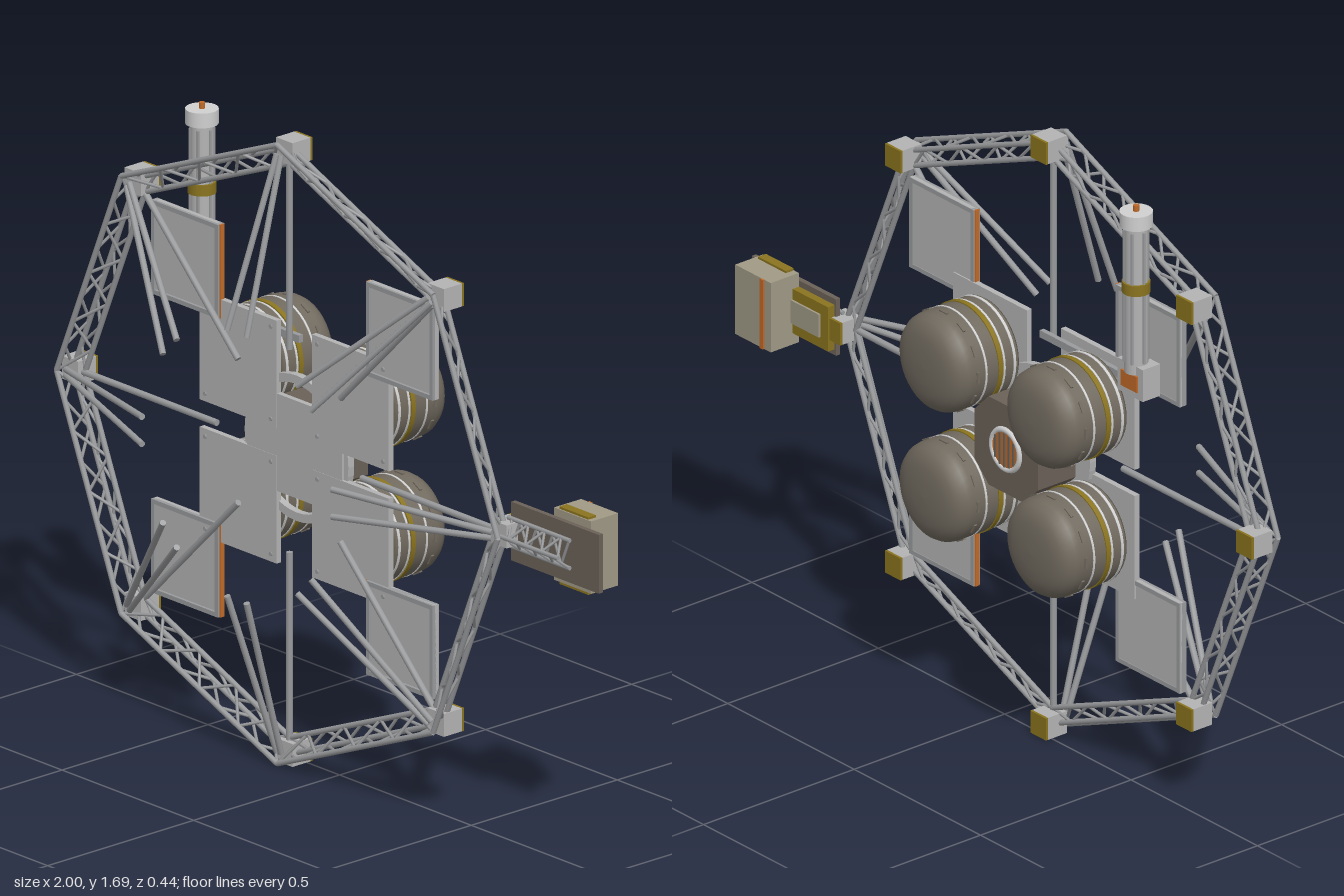
import * as THREE from 'three';

const mat = (name, color, side = THREE.FrontSide) => {
  const m = new THREE.MeshStandardMaterial({ color, side });
  m.name = name;
  return m;
};

export function createModel() {
  const root = new THREE.Group();
  root.name = 'orbitalPlatform';
  const grey = mat('light grey', 0xb4b4b4), metal = mat('metal grey', 0x9a9b9d);
  const silver = mat('silver', 0xd0d0d0), tankBrown = mat('tank brown', 0x716a5f);
  const bodyBrown = mat('body brown', 0x6b6258), beige = mat('beige', 0xa09a86);
  const gold = mat('gold', 0x8a741f), orange = mat('orange', 0xc06a28);
  const CX = -0.155, CY = 0.852;

  const add = (name, geo, m, x = 0, y = 0, z = 0, parent = root) => {
    const mesh = new THREE.Mesh(geo, m);
    mesh.name = name;
    mesh.position.set(x, y, z);
    parent.add(mesh);
    return mesh;
  };
  // box from its min and max corners
  const box = (name, m, x0, x1, y0, y1, z0, z1, parent = root) =>
    add(name, new THREE.BoxGeometry(x1 - x0, y1 - y0, z1 - z0), m, (x0 + x1) / 2, (y0 + y1) / 2, (z0 + z1) / 2, parent);
  // straight bar between two points
  const bar = (name, a, b, r, m, sides = 6, parent = root) => {
    const d = b.clone().sub(a);
    const mesh = add(name, new THREE.CylinderGeometry(r, r, d.length(), sides), m, 0, 0, 0, parent);
    mesh.position.copy(a).add(b).multiplyScalar(0.5);
    mesh.quaternion.setFromUnitVectors(new THREE.Vector3(0, 1, 0), d.normalize());
    return mesh;
  };
  const V = (x, y, z) => new THREE.Vector3(x, y, z);
  // point on the platform: radius, sideways offset, angle, depth
  const polar = (r, side, a, z) =>
    V(CX + r * Math.cos(a) - side * Math.sin(a), CY + r * Math.sin(a) + side * Math.cos(a), z);

  // Octagonal truss ring with nodes and inward struts
  const ring = new THREE.Group();
  ring.name = 'trussRing';
  root.add(ring);
  const chords = [[0.838, 0.074], [0.822, 0.03], [0.778, 0.03]];
  for (let i = 0; i < 8; i++) {
    const a = i * Math.PI / 4, b = a + Math.PI / 4;
    const ends = chords.map(([r, z]) => [polar(r, 0, a, z), polar(r, 0, b, z)]);
    ends.forEach(([p, q]) => bar('ringChord', p, q, 0.0075, metal, 8, ring));
    const bays = 8;
    for (let k = 0; k < bays; k++) {
      for (let c = 0; c < 3; c++) {
        const from = ends[k % 2 ? c : (c + 1) % 3], to = ends[k % 2 ? (c + 1) % 3 : c];
        bar('ringLacing', from[0].clone().lerp(from[1], k / bays),
          to[0].clone().lerp(to[1], (k + 1) / bays), 0.0045, metal, 5, ring);
      }
    }
    const n = polar(0.814, 0, a, 0);
    box('ringNode', grey, n.x - 0.031, n.x + 0.031, n.y - 0.031, n.y + 0.031, -0.012, 0.05, ring);
    box('nodeBackPlate', gold, n.x - 0.031, n.x + 0.031, n.y - 0.031, n.y + 0.031, -0.019, -0.012, ring);
    for (const s of [-1, 1])
      bar('forwardStrut', polar(0.81, s * 0.008, a, 0.068), polar(0.36, s * 0.037, a, 0.212), 0.0085, metal, 8, ring);
    bar('inwardStrut', polar(0.79, 0, a, 0.032), polar(0.275, 0, a, 0.032), 0.009, metal, 8, ring);
  }

  // Four main panels, each with a domed tank behind it
  const profile = [[0, 0], [0.13, 0], [0.135, 0.008], [0.135, 0.15], [0.132, 0.168], [0.122, 0.185],
    [0.104, 0.198], [0.078, 0.206], [0.04, 0.21], [0, 0.211]].map(p => new THREE.Vector2(...p));
  const bandGeo = (r, h) => new THREE.CylinderGeometry(r, r, h, 40);
  for (const sx of [-1, 1]) for (const sy of [-1, 1]) {
    const x = CX + sx * 0.213, y = CY + sy * 0.183;
    box('mainPanel', grey, x - 0.146, x + 0.146, y - 0.146, y + 0.146, 0, 0.016);
    for (const dx of [-0.125, 0.125]) for (const dy of [-0.125, 0.125])
      add('panelBolt', new THREE.CylinderGeometry(0.006, 0.006, 0.004, 8).rotateX(Math.PI / 2), metal, x + dx, y + dy, 0.017);
    const tank = new THREE.Group();
    tank.name = 'tank';
    tank.position.set(x, y, -0.013);
    tank.rotation.x = -Math.PI / 2;
    root.add(tank);
    add('tankShell', new THREE.LatheGeometry(profile, 40), tankBrown, 0, 0, 0, tank);
    add('tankMount', bandGeo(0.11, 0.02), metal, 0, -0.007, 0, tank);
    add('lowerBand', bandGeo(0.1365, 0.008), silver, 0, 0.018, 0, tank);
    add('goldBand', bandGeo(0.138, 0.014), gold, 0, 0.065, 0, tank);
    add('middleBand', bandGeo(0.1365, 0.006), silver, 0, 0.052, 0, tank);
    add('upperBand', bandGeo(0.1365, 0.006), silver, 0, 0.112, 0, tank);
    for (let k = 0; k < 12; k++) {
      const a = k * Math.PI / 6;
      const lug = add('tankLug', new THREE.BoxGeometry(0.006, 0.008, 0.03), tankBrown,
        0.135 * Math.cos(a), 0.14, 0.135 * Math.sin(a), tank);
      lug.rotation.y = -a;
    }
  }

  // Central plate, collar and hub body
  box('centrePlate', grey, CX - 0.18, CX + 0.18, CY - 0.132, CY + 0.132, 0, 0.015);
  const collar = new THREE.Shape().absarc(0, 0, 0.197, 0, Math.PI * 2);
  collar.holes.push(new THREE.Path().absarc(0, 0, 0.174, 0, Math.PI * 2, true));
  add('hubCollar', new THREE.ExtrudeGeometry(collar, { depth: 0.02, bevelEnabled: false, curveSegments: 24 }), grey, CX, CY, -0.012);
  const h = 0.125, c = 0.055, hub = new THREE.Shape();
  [[h, h - c], [h - c, h], [c - h, h], [-h, h - c], [-h, c - h], [c - h, -h], [h - c, -h], [h, c - h]]
    .forEach(([x, y], i) => (i ? hub.lineTo(x, y) : hub.moveTo(x, y)));
  add('hubBody', new THREE.ExtrudeGeometry(hub, { depth: 0.125, bevelEnabled: false }), bodyBrown, CX, CY, -0.125);
  add('hubPortRing', new THREE.TorusGeometry(0.055, 0.008, 8, 32), silver, CX, CY, -0.126);
  add('hubPort', new THREE.CylinderGeometry(0.05, 0.05, 0.006, 32).rotateX(Math.PI / 2), orange, CX, CY, -0.127);
  for (let k = -2; k <= 2; k++) {
    const half = Math.sqrt(0.048 ** 2 - (k * 0.018) ** 2);
    box('portSlat', bodyBrown, CX + k * 0.018 - 0.003, CX + k * 0.018 + 0.003, CY - half, CY + half, -0.133, -0.129);
  }

  // Square corner panels with raised frames
  for (const sx of [-1, 1]) for (const sy of [-1, 1]) {
    const x = CX + sx * 0.408, y = CY + sy * 0.405, w = 0.127;
    box('cornerPanel', grey, x - w, x + w, y - w, y + w, 0.004, 0.016);
    for (const s of [-1, 1]) {
      box('cornerFrameSide', metal, x + s * (w - 0.006) - 0.006, x + s * (w - 0.006) + 0.006, y - w, y + w, 0.002, 0.024);
      box('cornerFrameEnd', metal, x - w + 0.012, x + w - 0.012, y + s * (w - 0.006) - 0.006, y + s * (w - 0.006) + 0.006, 0.002, 0.024);
    }
    const ex = x - sx * (w + 0.002);
    box('cornerPanelStripe', orange, ex - 0.002, ex + 0.002, y - w, y + w, 0.005, 0.018);
  }

  // Upright cylinder on a side arm
  const TX = -0.563, TZ = -0.036;
  const drum = (name, m, r, y0, y1) => add(name, new THREE.CylinderGeometry(r, r, y1 - y0, 24), m, TX, (y0 + y1) / 2, TZ);
  drum('mastTube', grey, 0.031, 1.2, 1.62);
  drum('mastGoldBand', gold, 0.037, 1.425, 1.455);
  drum('mastCap', silver, 0.043, 1.612, 1.652);
  drum('mastTip', orange, 0.008, 1.652, 1.668);
  for (let k = 0; k < 6; k++) {
    const a = k * Math.PI / 3, x = TX + 0.031 * Math.cos(a), z = TZ + 0.031 * Math.sin(a);
    bar('mastRail', V(x, 1.23, z), V(x, 1.6, z), 0.004, metal);
  }
  box('mastBase', grey, TX - 0.05, TX + 0.05, 1.135, 1.225, -0.056, 0.002);
  box('mastBasePlate', orange, TX - 0.032, TX + 0.032, 1.155, 1.2, -0.061, -0.056);
  box('mastArm', metal, TX, CX, 1.135, 1.155, -0.014, 0);

  // Side boom with equipment box
  box('boomPlate', bodyBrown, 0.665, 0.998, 0.773, 0.932, -0.002, 0.012);
  box('boomGoldBlock', gold, 0.67, 0.81, 0.79, 0.915, -0.024, -0.002);
  box('boomInnerBlock', beige, 0.7, 0.812, 0.82, 0.885, -0.03, -0.024);
  box('equipmentBox', beige, 0.812, 0.953, 0.757, 0.953, -0.095, -0.002);
  box('equipmentStripe', orange, 0.838, 0.85, 0.757, 0.953, -0.1, -0.095);
  for (const y of [0.75, 0.954]) box('equipmentTrim', gold, 0.83, 0.94, y, y + 0.006, -0.03, -0.004);
  const rails = [[0.815, 0.018], [0.89, 0.018], [0.852, 0.058]];
  rails.forEach(([y, z]) => bar('boomRail', V(0.66, y, z), V(0.895, y, z), 0.006, metal));
  for (let k = 0; k < 7; k++) {
    const x = 0.675 + k * 0.031;
    for (let i = 0; i < 3; i++) {
      const p = rails[i], q = rails[(i + 1) % 3], s = k % 2;
      bar('boomLacing', V(x + (s ? 0.031 : 0), ...p), V(x + (s ? 0 : 0.031), ...q), 0.004, metal, 5);
    }
  }
  return root;
}
